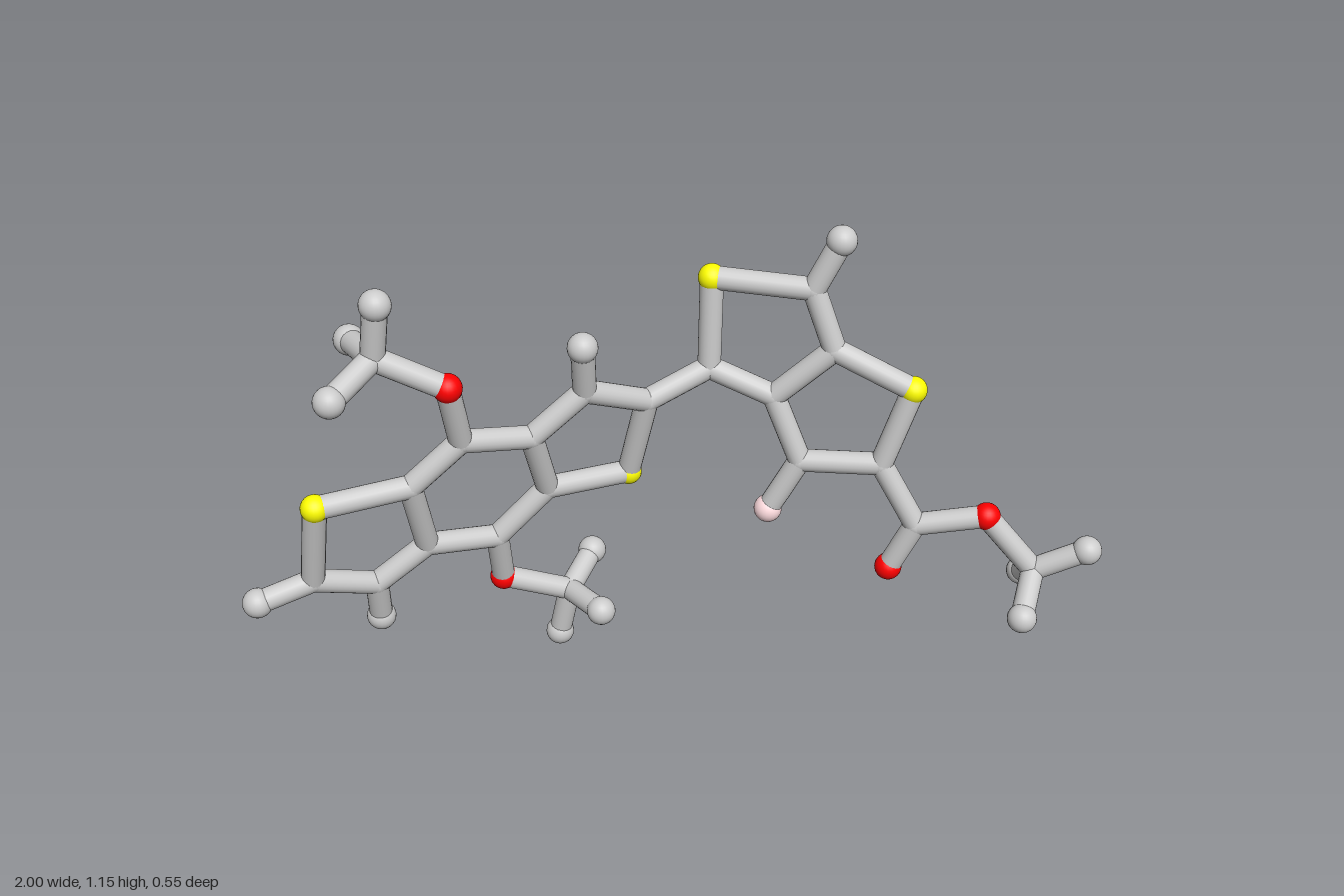
import * as THREE from 'three';

const paint = (color) => new THREE.MeshStandardMaterial({ color });
const grey = paint(0xcccccc);

// Atom kinds: plain name, radius, material
const kinds = {
  C: ['carbonJoint', 0.028, grey],
  H: ['hydrogenBall', 0.035, grey],
  S: ['sulfurBall', 0.032, paint(0xffff00)],
  O: ['oxygenBall', 0.033, paint(0xff0000)],
  F: ['fluorineBall', 0.034, paint(0xffdde0)],
};
const BOND_RADIUS = 0.0275;

// The two fused ring systems are flat: z follows from x and y
const leftPlane = (x, y) => -0.314 - 0.293 * x + 0.286 * y;
const rightPlane = (x, y) => -0.1275 + 0.332 * x - 0.039 * y;

// Each fragment: atoms as id: [kind, x, y, z?], and bonded chains of ids
const fragments = [
  {
    name: 'leftTripleRing',
    plane: leftPlane,
    atoms: {
      s1: ['S', -0.81, 0.62], a1: ['C', -0.84, 0.39], a2: ['C', -0.70, 0.33],
      a3: ['C', -0.575, 0.42], a4: ['C', -0.60, 0.62], a5: ['C', -0.48, 0.725],
      a6: ['C', -0.32, 0.69], a7: ['C', -0.285, 0.515], a8: ['C', -0.41, 0.39],
      a9: ['C', -0.195, 0.795], a10: ['C', -0.045, 0.725], s2: ['S', -0.085, 0.505],
      h1: ['H', -0.967, 0.36], h2: ['H', -0.70, 0.21], h3: ['H', -0.20, 0.925],
      o1: ['O', -0.50, 0.89], o2: ['O', -0.40, 0.24],
    },
    chains: ['s1 a1 a2 a3 a4 s1', 'a4 a5 a6 a7 a8 a3', 'a6 a9 a10 s2 a7',
      'a1 h1', 'a2 h2', 'a9 h3', 'a5 o1', 'a8 o2'],
  },
  {
    name: 'rightDoubleRing',
    plane: rightPlane,
    atoms: {
      b1: ['C', 0.105, 0.785], s3: ['S', 0.11, 1.01], b2: ['C', 0.33, 1.0],
      b3: ['C', 0.38, 0.855], b4: ['C', 0.25, 0.725], s4: ['S', 0.555, 0.77],
      b5: ['C', 0.495, 0.57], b6: ['C', 0.313, 0.56],
      h4: ['H', 0.385, 1.12], f1: ['F', 0.243, 0.42],
    },
    chains: ['a10 b1 s3 b2 b3 b4 b1', 'b3 s4 b5 b6 b4', 'b2 h4', 'b6 f1'],
  },
  {
    name: 'upperMethoxy',
    atoms: {
      c1: ['C', -0.652, 0.968, 0.077], h5: ['H', -0.635, 1.10, 0.095],
      h6: ['H', -0.745, 0.922, 0.173], h7: ['H', -0.705, 0.95, -0.055],
    },
    chains: ['o1 c1 h5', 'h6 c1 h7'],
  },
  {
    name: 'lowerMethoxy',
    atoms: {
      c2: ['C', -0.238, 0.175, -0.142], h8: ['H', -0.265, 0.037, -0.158],
      h9: ['H', -0.17, 0.218, -0.243], h10: ['H', -0.172, 0.188, -0.02],
    },
    chains: ['o2 c2 h8', 'h9 c2 h10'],
  },
  {
    name: 'esterTail',
    atoms: {
      c3: ['C', 0.58, 0.415, 0.05], o3: ['O', 0.527, 0.285, 0.03],
      o4: ['O', 0.737, 0.455, 0.1], c4: ['C', 0.853, 0.318, 0.138],
      h11: ['H', 0.965, 0.387, 0.177], h12: ['H', 0.80, 0.252, 0.24],
      h13: ['H', 0.865, 0.243, 0.035],
    },
    chains: ['b5 c3 o4 c4 h11', 'c3 o3', 'h12 c4 h13'],
  },
];

// Straight stick between two points
function makeBond(from, to) {
  const dir = to.clone().sub(from);
  const geometry = new THREE.CylinderGeometry(BOND_RADIUS, BOND_RADIUS, dir.length(), 20, 1, true);
  const bond = new THREE.Mesh(geometry, grey);
  bond.name = 'bond';
  bond.position.copy(from).addScaledVector(dir, 0.5);
  bond.quaternion.setFromUnitVectors(new THREE.Vector3(0, 1, 0), dir.normalize());
  return bond;
}

export function createModel() {
  const model = new THREE.Group();
  model.name = 'moleculeModel';
  const points = {};

  for (const { name, plane, atoms, chains } of fragments) {
    const group = new THREE.Group();
    group.name = name;

    // Balls and smooth joints
    for (const [id, [kind, x, y, z]] of Object.entries(atoms)) {
      const [label, radius, material] = kinds[kind];
      const ball = new THREE.Mesh(new THREE.SphereGeometry(radius, 24, 16), material);
      ball.name = label;
      ball.position.set(x, y, z ?? plane(x, y));
      points[id] = ball.position;
      group.add(ball);
    }

    // Sticks along every chain
    for (const chain of chains) {
      const ids = chain.split(' ');
      for (let i = 1; i < ids.length; i++) {
        group.add(makeBond(points[ids[i - 1]], points[ids[i]]));
      }
    }
    model.add(group);
  }
  return model;
}
